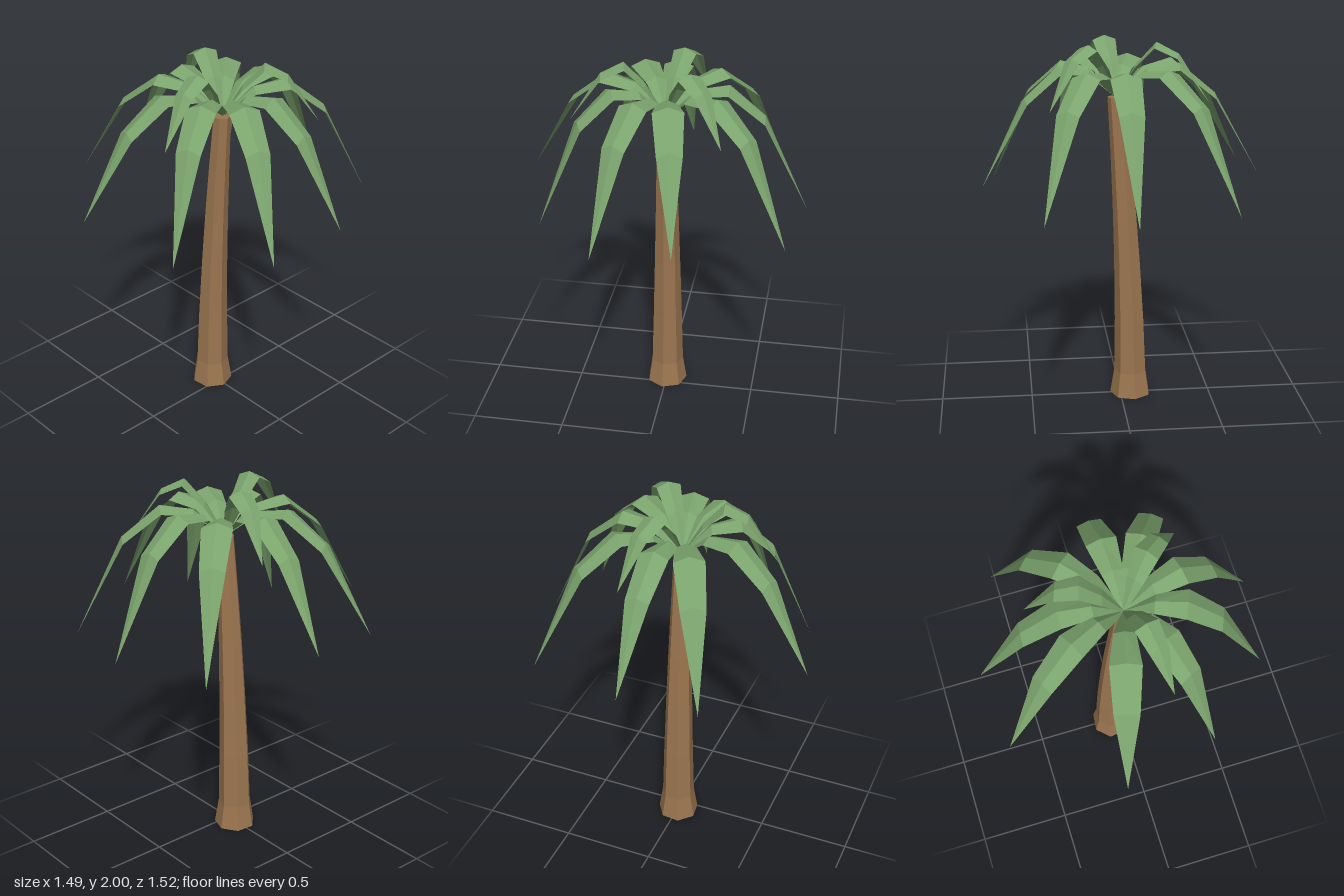
import * as THREE from 'three';

const CROWN = new THREE.Vector3(0.02, 1.7, -0.005);

// Seven-sided trunk: flared foot, tapering and bending gently towards the crown
function createTrunk() {
  const heights = [0, 0.14, 0.45, 0.8, 1.1, 1.4, 1.7];
  const geo = new THREE.CylinderGeometry(1, 1, 1, 7, heights.length - 1, false, 1.477);
  const pos = geo.attributes.position;
  for (let i = 0; i < pos.count; i++) {
    const row = Math.round((pos.getY(i) + 0.5) * (heights.length - 1));
    const y = heights[row];
    const t = Math.max(0, (y - 0.14) / 1.56);
    const radius = row === 0 ? 0.114 : 0.092 - 0.044 * t;
    const centreX = -0.058 + 0.078 * Math.pow(t, 1.7);
    pos.setXYZ(i, centreX + pos.getX(i) * radius, y, pos.getZ(i) * radius - 0.004 * t);
  }
  geo.computeVertexNormals();
  const material = new THREE.MeshStandardMaterial({ color: 0x9c7650, flatShading: true });
  const trunk = new THREE.Mesh(geo, material);
  trunk.name = 'trunk';
  return trunk;
}

// Cross-sections of a frond: [share of reach, height of ridge, half width, drop of the edges]
const LONG = [[0, 1.7, 0.008, 0.004], [0.21, 1.85, 0.055, 0.025], [0.43, 1.88, 0.08, 0.03], [0.68, 1.72, 0.065, 0.025]];
const SHORT = [[0, 1.7, 0.008, 0.004], [0.21, 1.88, 0.045, 0.02], [0.43, 1.998, 0.065, 0.025], [0.67, 1.94, 0.052, 0.02]];

// Roof-shaped leaf running from the crown to a pointed tip
function createFrond(sections, [tipX, tipY, tipZ], material) {
  const dx = tipX - CROWN.x, dz = tipZ - CROWN.z;
  const reach = Math.hypot(dx, dz);
  const sideX = -dz / reach, sideZ = dx / reach;
  const rows = [...sections, [1, tipY, 0, 0]];
  const points = [], index = [];
  rows.forEach(([share, y, half, drop], r) => {
    for (const s of [-1, 0, 1]) {
      points.push(
        CROWN.x + dx * share + sideX * half * s,
        y - drop * Math.abs(s),
        CROWN.z + dz * share + sideZ * half * s);
    }
    if (r === 0) return;
    for (let c = 0; c < 2; c++) {
      const a = (r - 1) * 3 + c, b = a + 1, d = r * 3 + c, e = d + 1;
      // the last row shrinks to a point, so it needs one triangle per half
      if (r === rows.length - 1) index.push(a, b, d);
      else index.push(a, b, d, b, e, d);
    }
  });
  const geo = new THREE.BufferGeometry();
  geo.setAttribute('position', new THREE.Float32BufferAttribute(points, 3));
  geo.setIndex(index);
  geo.computeVertexNormals();
  return new THREE.Mesh(geo, material);
}

export function createModel() {
  const palm = new THREE.Group();
  palm.name = 'palmTree';
  palm.add(createTrunk());

  const leaf = new THREE.MeshStandardMaterial({ color: 0x7ba46d, flatShading: true, side: THREE.DoubleSide });

  // Lower ring of long fronds, given by their tips
  const longTips = [
    [-0.02, 1.19, -0.76], [0.44, 1.19, -0.68], [0.74, 1.26, -0.15],
    [0.69, 1.19, 0.27], [0.33, 1.165, 0.615], [-0.19, 1.27, 0.76],
    [-0.7, 1.26, 0.37], [-0.745, 1.27, -0.045], [-0.55, 1.19, -0.605],
  ];
  // Upper ring of short fronds
  const shortTips = [[0.39, 1.69, -0.34], [0.13, 1.685, 0.48], [-0.45, 1.69, -0.16]];

  const addRing = (name, sections, tips) => {
    const ring = new THREE.Group();
    ring.name = name + 's';
    tips.forEach((tip, i) => {
      const frond = createFrond(sections, tip, leaf);
      frond.name = name + (i + 1);
      ring.add(frond);
    });
    palm.add(ring);
  };
  addRing('longFrond', LONG, longTips);
  addRing('shortFrond', SHORT, shortTips);
  return palm;
}
